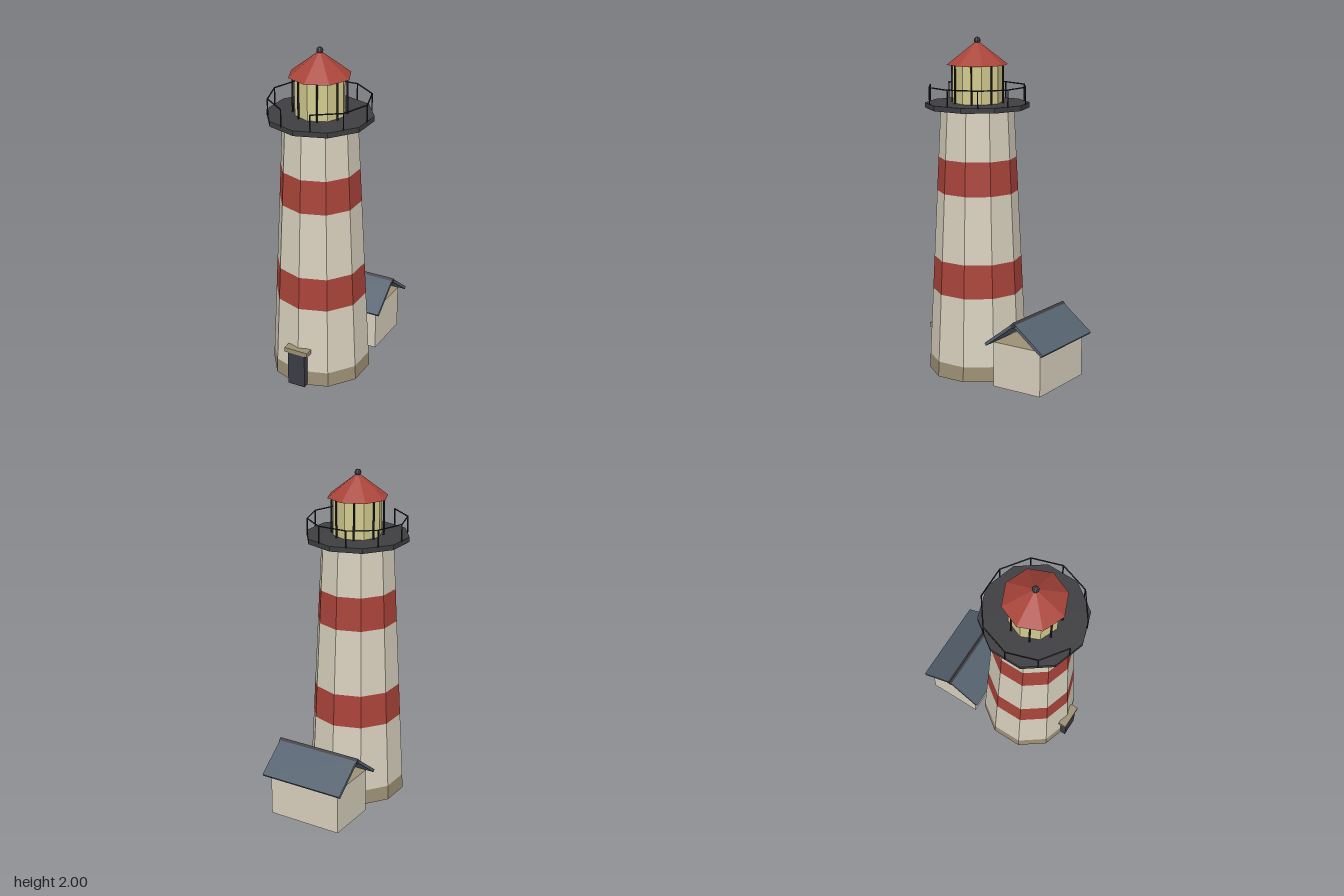
import * as THREE from 'three';

const mat = (name, color, open = false) => {
  const m = new THREE.MeshStandardMaterial({ color, flatShading: true });
  m.name = name;
  if (open) m.side = THREE.DoubleSide;
  return m;
};

export function createModel() {
  const cream = mat('cream wall', 0xd8d0be, true);
  const red = mat('red paint', 0xa9443a, true);
  const stone = mat('tan stone', 0x9c8f74, true);
  const iron = mat('dark iron', 0x3e3e42);
  const black = mat('black metal', 0x242427);
  const glass = mat('lamp glass', 0xd2ca8e);
  const slate = mat('slate', 0x566270);
  const doorPaint = mat('door grey', 0x3c3d45);

  const model = new THREE.Group();
  model.name = 'lighthouse';
  const tower = new THREE.Group();
  tower.name = 'tower';
  tower.position.z = 0.16;
  const house = new THREE.Group();
  house.name = 'house';
  house.position.z = -0.275;
  model.add(tower, house);

  const add = (parent, name, geo, material, x = 0, y = 0, z = 0) => {
    const m = new THREE.Mesh(geo, material);
    m.name = name;
    m.position.set(x, y, z);
    parent.add(m);
    return m;
  };
  const box = (w, h, d) => new THREE.BoxGeometry(w, h, d);
  const bar = (parent, name, a, b, r) => {
    const dir = b.clone().sub(a);
    const m = add(parent, name, new THREE.CylinderGeometry(r, r, dir.length(), 5), black);
    m.position.copy(a).add(b).multiplyScalar(0.5);
    m.quaternion.setFromUnitVectors(new THREE.Vector3(0, 1, 0), dir.normalize());
  };

  // Tapered ten-sided shaft in coloured courses
  const radius = (y) => 0.295 - 0.08 * (y / 1.59);
  const courses = [
    ['stoneBase', 0, 0.09, stone], ['lowerWall', 0.09, 0.5, cream],
    ['lowerBand', 0.5, 0.7, red], ['middleWall', 0.7, 1.1, cream],
    ['upperBand', 1.1, 1.3, red], ['upperWall', 1.3, 1.59, cream],
  ];
  for (const [name, y0, y1, m] of courses) {
    add(tower, name, new THREE.CylinderGeometry(radius(y1), radius(y0), y1 - y0, 10, 1, true),
      m, 0, (y0 + y1) / 2);
  }

  // Front door and lintel
  add(tower, 'frontDoor', box(0.11, 0.215, 0.05), doorPaint, 0, 0.1075, 0.285);
  add(tower, 'doorLintel', box(0.15, 0.028, 0.05), stone, 0, 0.229, 0.29);

  // Gallery deck and railing, open at the front
  add(tower, 'galleryDeck', new THREE.CylinderGeometry(0.305, 0.305, 0.03, 10), iron, 0, 1.605);
  const railPoint = (i, y) => {
    const a = (i * Math.PI) / 5;
    return new THREE.Vector3(Math.cos(a) * 0.291, y, Math.sin(a) * 0.291);
  };
  for (let i = 0; i < 10; i++) {
    bar(tower, 'railPost', railPoint(i, 1.615), railPoint(i, 1.718), 0.004);
    if (i !== 2) bar(tower, 'handRail', railPoint(i, 1.716), railPoint(i + 1, 1.716), 0.004);
  }

  // Lantern room
  add(tower, 'lanternGlass', new THREE.CylinderGeometry(0.145, 0.145, 0.22, 8), glass, 0, 1.73);
  for (let i = 0; i < 8; i++) {
    const a = ((i + 0.5) * Math.PI) / 4;
    const x = Math.sin(a) * 0.152, z = Math.cos(a) * 0.152;
    bar(tower, 'lanternBar', new THREE.Vector3(x, 1.62, z), new THREE.Vector3(x, 1.84, z), 0.006);
  }
  add(tower, 'lanternRoof', new THREE.ConeGeometry(0.18, 0.14, 8), red, 0, 1.91);
  add(tower, 'roofBall', new THREE.SphereGeometry(0.02, 8, 6), iron, 0, 1.98);

  // House walls, open below, with a flat ceiling
  const w = 0.46, d = 0.32, h = 0.27;
  for (const s of [-1, 1]) {
    add(house, 'longWall', new THREE.PlaneGeometry(w, h), cream, 0, h / 2, s * d / 2)
      .rotation.y = s > 0 ? 0 : Math.PI;
    add(house, 'endWall', new THREE.PlaneGeometry(d, h), cream, s * w / 2, h / 2, 0)
      .rotation.y = s * Math.PI / 2;
  }
  add(house, 'ceiling', new THREE.PlaneGeometry(w, d), stone, 0, h, 0).rotation.x = -Math.PI / 2;
  add(house, 'houseDoor', box(0.095, 0.18, 0.012), slate, 0.115, 0.09, d / 2);

  // Pitched roof panels and ridge cap
  const pitch = 0.66;
  for (const s of [-1, 1]) {
    add(house, 'roofPanel', box(0.53, 0.018, 0.246), slate, 0, 0.333, s * 0.098)
      .rotation.x = s * pitch;
  }
  add(house, 'ridgeCap', box(0.54, 0.026, 0.026), iron, 0, 0.405, 0).rotation.x = Math.PI / 4;

  return model;
}
